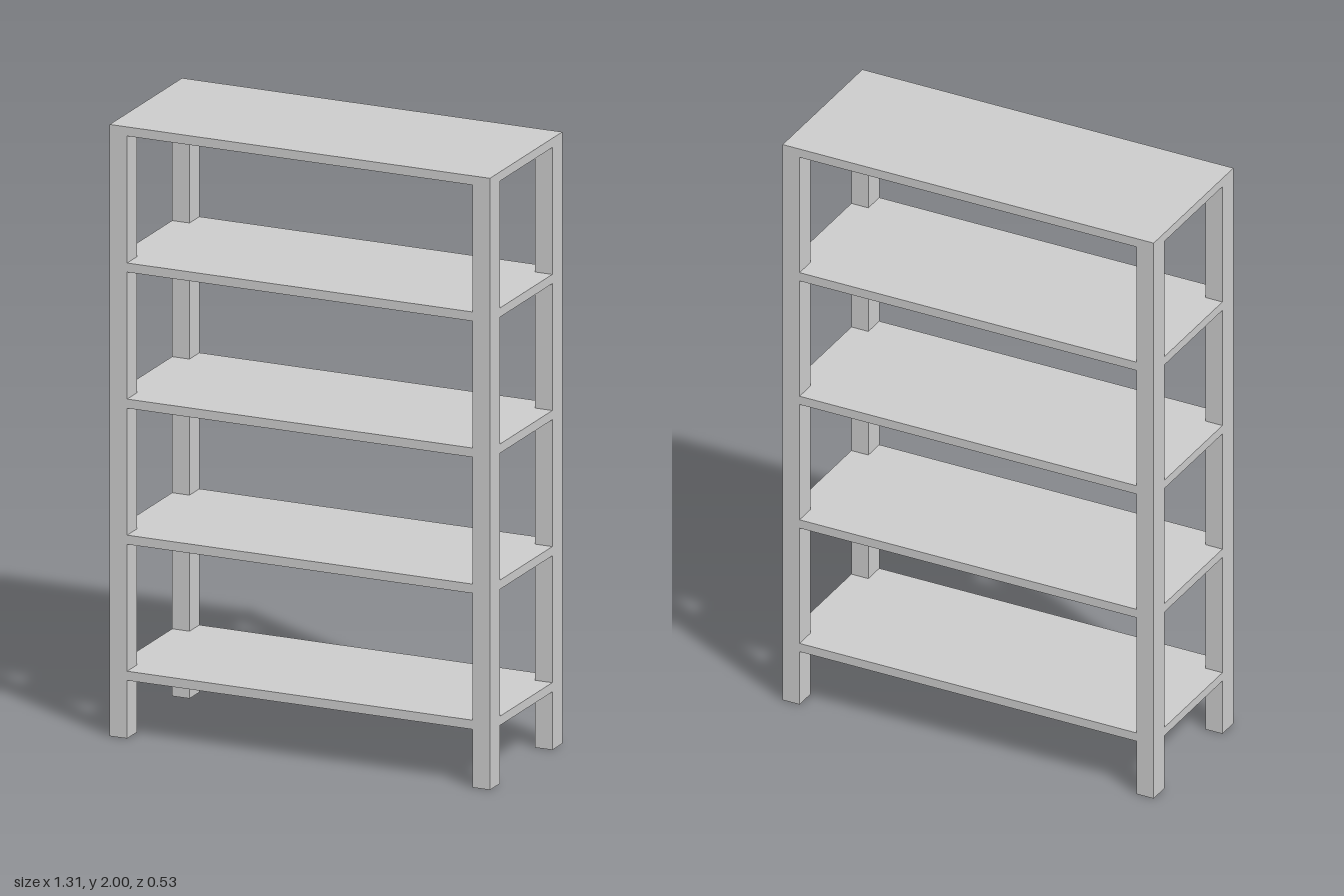
import * as THREE from 'three';

const W = 0.655, D = 0.265;        // half width and half depth
const POST_W = 0.06, POST_D = 0.073;
const HEIGHT = 2, THICK = 0.03;
const SHELF_COUNT = 5, LOWEST_TOP = 0.22;

// Shelf outline with its four corners notched to fit round the posts
function shelfGeometry() {
  const x = W - POST_W, z = D - POST_D;
  const outline = [
    [W, -z], [W, z], [x, z], [x, D], [-x, D], [-x, z],
    [-W, z], [-W, -z], [-x, -z], [-x, -D], [x, -D], [x, -z],
  ].map(([a, b]) => new THREE.Vector2(a, b));
  return new THREE.ExtrudeGeometry(new THREE.Shape(outline), { depth: THICK, bevelEnabled: false })
    .rotateX(-Math.PI / 2);
}

export function createModel() {
  const group = new THREE.Group();
  group.name = 'shelvingUnit';
  const material = new THREE.MeshStandardMaterial({ color: 0xcccccc });

  // Four full-height corner posts
  const postGeo = new THREE.BoxGeometry(POST_W, HEIGHT, POST_D);
  for (const [sx, side] of [[1, 'Left'], [-1, 'Right']]) {
    for (const [sz, end] of [[1, 'front'], [-1, 'back']]) {
      const post = new THREE.Mesh(postGeo, material);
      post.name = `${end}${side}Post`;
      post.position.set(sx * (W - POST_W / 2), HEIGHT / 2, sz * (D - POST_D / 2));
      group.add(post);
    }
  }

  // Evenly spaced shelves, the highest flush with the post tops
  const shelfGeo = shelfGeometry();
  const step = (HEIGHT - LOWEST_TOP) / (SHELF_COUNT - 1);
  for (let i = 0; i < SHELF_COUNT; i++) {
    const shelf = new THREE.Mesh(shelfGeo, material);
    shelf.name = i === SHELF_COUNT - 1 ? 'topShelf' : `shelf${i + 1}`;
    shelf.position.y = LOWEST_TOP + i * step - THICK;
    group.add(shelf);
  }

  return group;
}
